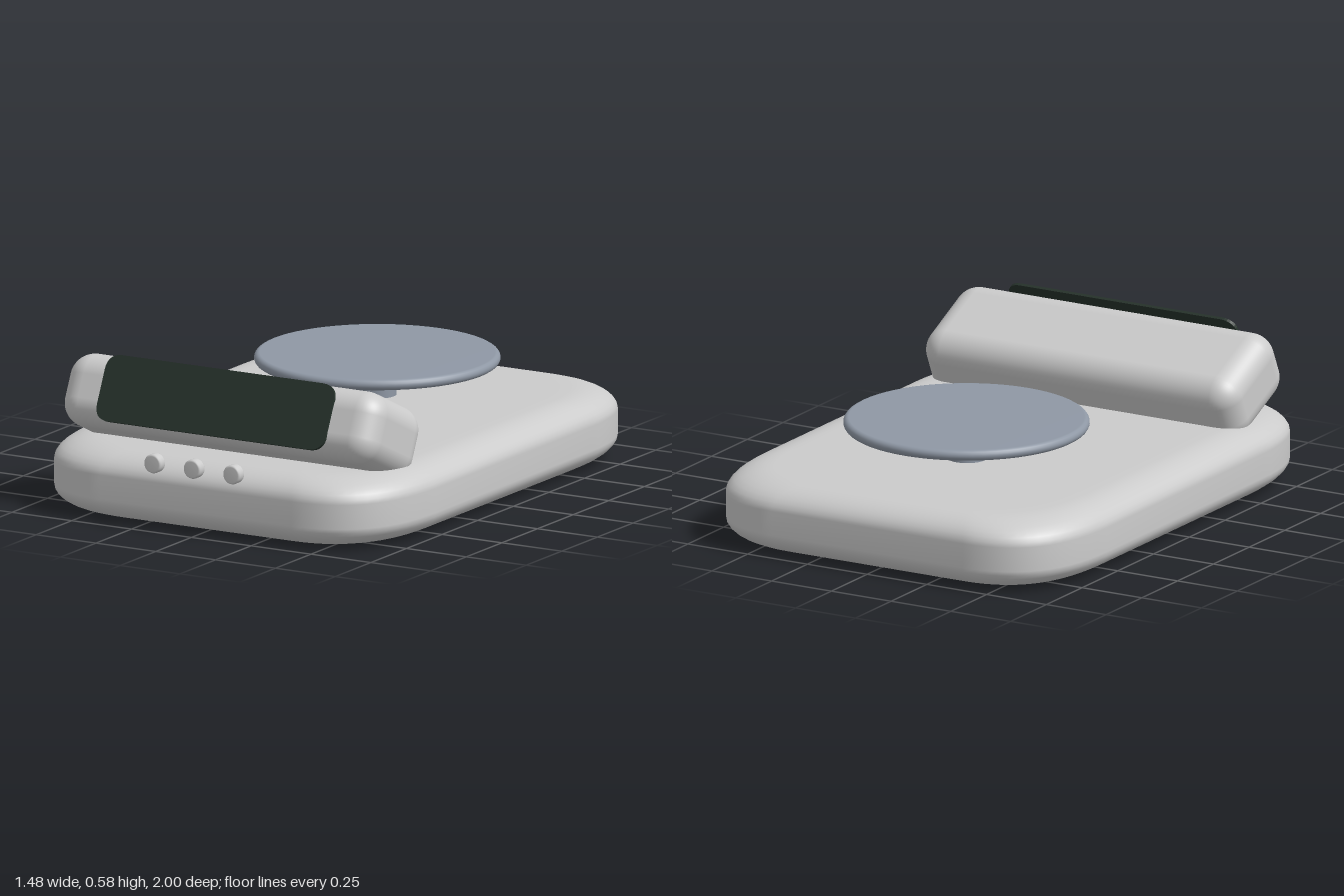
import * as THREE from 'three';
import { RoundedBoxGeometry } from 'three/addons/geometries/RoundedBoxGeometry.js';

const grey = new THREE.MeshStandardMaterial({ color: 0xcccccc });
const panGrey = new THREE.MeshStandardMaterial({ color: 0x8f98a5 });
const screenDark = new THREE.MeshStandardMaterial({ color: 0x26322b });

function part(name, geometry, material, parent) {
  const mesh = new THREE.Mesh(geometry, material);
  mesh.name = name;
  parent.add(mesh);
  return mesh;
}

// Rectangle with soft corners that reach cx and cy along its sides
function softRect(a, b, cx, cy) {
  const s = new THREE.Shape();
  s.moveTo(a, -b + cy);
  s.lineTo(a, b - cy);
  s.quadraticCurveTo(a, b, a - cx, b);
  s.lineTo(-a + cx, b);
  s.quadraticCurveTo(-a, b, -a, b - cy);
  s.lineTo(-a, -b + cy);
  s.quadraticCurveTo(-a, -b, -a + cx, -b);
  s.lineTo(a - cx, -b);
  s.quadraticCurveTo(a, -b, a, -b + cy);
  return s;
}

// Pillow slab: the outline is stacked in rings that draw in at top and bottom
function pillow(a, b, cx, cy, height, inset, rise) {
  const outline = softRect(a, b, cx, cy).getPoints(14);
  if (outline[0].distanceTo(outline[outline.length - 1]) < 1e-6) outline.pop();
  const n = outline.length, steps = 8, rings = [];
  for (let i = 0; i <= steps; i++) {
    const t = (i / steps) * Math.PI / 2;
    rings.push([inset * (1 - Math.sin(t)), rise * (1 - Math.cos(t))]);
  }
  for (let i = steps; i >= 0; i--) rings.push([rings[i][0], height - rings[i][1]]);
  // extra inner rings keep the caps flat
  rings.unshift([inset + 0.04, 0]);
  rings.push([inset + 0.04, height]);

  const pos = [], index = [];
  for (const [d, y] of rings) {
    for (const p of outline) pos.push(p.x * (a - d) / a, y, -p.y * (b - d) / b);
  }
  const last = (rings.length - 1) * n, bottom = rings.length * n, top = bottom + 1;
  pos.push(0, 0, 0, 0, height, 0);
  for (let i = 0; i < n; i++) {
    const j = (i + 1) % n;
    for (let r = 0; r < rings.length - 1; r++) {
      const p = r * n;
      index.push(p + i, p + j, p + n + j, p + i, p + n + j, p + n + i);
    }
    index.push(bottom, j, i, top, last + i, last + j);
  }
  const g = new THREE.BufferGeometry();
  g.setAttribute('position', new THREE.Float32BufferAttribute(pos, 3));
  g.setIndex(index);
  g.computeVertexNormals();
  return g;
}

export function createModel() {
  const model = new THREE.Group();
  model.name = 'kitchenScale';

  // Soft base slab
  part('base', pillow(0.74, 0.985, 0.34, 0.44, 0.26, 0.14, 0.085), grey, model)
    .position.z = -0.015;

  // Weighing pan with a rounded rim, on a short stem
  const rim = [new THREE.Vector2(0, 0.375)];
  for (let i = 0; i <= 8; i++) {
    const t = -Math.PI / 2 + (i / 8) * Math.PI;
    rim.push(new THREE.Vector2(0.423 + 0.02 * Math.cos(t), 0.395 + 0.02 * Math.sin(t)));
  }
  rim.push(new THREE.Vector2(0, 0.415));
  part('weighingPan', new THREE.LatheGeometry(rim, 64), panGrey, model).position.z = -0.305;
  part('panStem', new THREE.CylinderGeometry(0.072, 0.072, 0.15, 32), panGrey, model)
    .position.set(0, 0.31, -0.3);

  // Display head, leaning back
  const head = new THREE.Group();
  head.name = 'displayHead';
  head.position.set(0, 0.374, 0.648);
  head.rotation.x = -THREE.MathUtils.degToRad(25);
  model.add(head);
  part('displayHousing', new RoundedBoxGeometry(1.31, 0.27, 0.395, 6, 0.09), grey, head);
  const panel = new THREE.ExtrudeGeometry(softRect(0.478, 0.123, 0.06, 0.06),
    { depth: 0.012, bevelEnabled: false, curveSegments: 8 });
  part('displayScreen', panel, screenDark, head).position.set(0, 0.004, 0.193);

  // Three round buttons along the front edge
  const buttonProfile = [[0, -0.02], [0.028, -0.02], [0.033, -0.018], [0.035, -0.013],
    [0.035, 0.013], [0.033, 0.018], [0.028, 0.02], [0, 0.02]]
    .map(([r, y]) => new THREE.Vector2(r, y));
  const buttonGeometry = new THREE.LatheGeometry(buttonProfile, 28);
  buttonGeometry.rotateX(Math.PI / 2);
  for (const x of [-0.165, 0, 0.165]) {
    part('button', buttonGeometry, grey, model).position.set(x, 0.25, 0.98);
  }
  return model;
}
